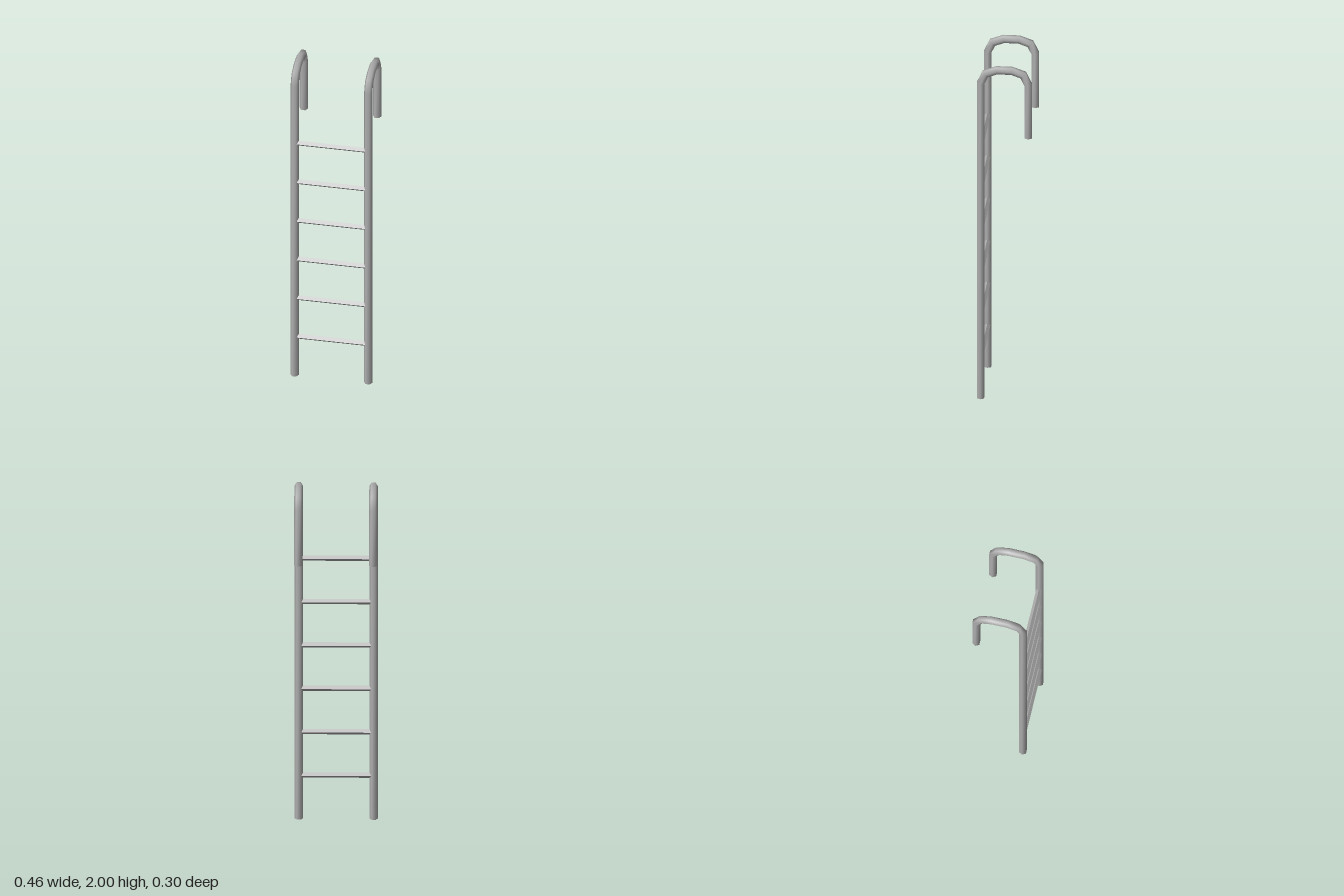
import * as THREE from 'three';

const RAIL_X = 0.205, RAIL_Z = 0.131, RAIL_R = 0.0228, SIDES = 6;

// Hexagonal tube swept with mitred joints along a path in the z-y plane
function sweepRail(path) {
  const pos = [], idx = [];
  const pts = path.map(([z, y]) => new THREE.Vector2(z, y));
  const last = pts.length - 1;
  const rings = pts.map((p, i) => {
    const a = pts[Math.max(i - 1, 0)], b = pts[Math.min(i + 1, last)];
    const dIn = (i > 0 ? p.clone().sub(a) : b.clone().sub(p)).normalize();
    const dOut = (i < last ? b.clone().sub(p) : p.clone().sub(a)).normalize();
    const t = dIn.clone().add(dOut).normalize();
    const stretch = 1 / t.dot(dIn);
    const ring = [];
    for (let k = 0; k < SIDES; k++) {
      const ang = (k / SIDES) * Math.PI * 2;
      const n = Math.sin(ang) * RAIL_R * stretch;
      ring.push([Math.cos(ang) * RAIL_R, p.y - t.x * n, p.x + t.y * n]);
    }
    return ring;
  });
  rings.forEach((ring) => ring.forEach((v) => pos.push(...v)));
  for (let i = 0; i < last; i++) {
    for (let k = 0; k < SIDES; k++) {
      const a = i * SIDES + k, b = i * SIDES + (k + 1) % SIDES;
      idx.push(a, a + SIDES, b, b, a + SIDES, b + SIDES);
    }
  }
  // End caps with their own vertices so the edges stay sharp
  [rings[0], rings[last]].forEach((ring, end) => {
    const s = pos.length / 3;
    ring.forEach((v) => pos.push(...v));
    for (let k = 1; k < SIDES - 1; k++) {
      if (end) idx.push(s, s + k + 1, s + k);
      else idx.push(s, s + k, s + k + 1);
    }
  });
  const geo = new THREE.BufferGeometry();
  geo.setAttribute('position', new THREE.Float32BufferAttribute(pos, 3));
  geo.setIndex(idx);
  geo.computeVertexNormals();
  return geo;
}

export function createModel() {
  const group = new THREE.Group();
  group.name = 'ladder';
  const metal = new THREE.MeshStandardMaterial({ color: 0xb0b0b0, side: THREE.DoubleSide });
  metal.name = 'grey metal';

  // Side rails: straight up, over the hook, and down behind
  const railGeo = sweepRail([
    [RAIL_Z, 0], [RAIL_Z, 1.9], [0.104, 1.957], [0.042, 1.98],
    [-0.042, 1.98], [-0.104, 1.957], [-RAIL_Z, 1.9], [-RAIL_Z, 1.58],
  ]);
  for (const side of [1, -1]) {
    const rail = new THREE.Mesh(railGeo, metal);
    rail.name = side > 0 ? 'leftRail' : 'rightRail';
    rail.position.x = side * RAIL_X;
    group.add(rail);
  }

  // Diamond-section rungs with sharp edges
  const side = 0.0155 * Math.SQRT2;
  const rungGeo = new THREE.BoxGeometry(0.4, side, side);
  rungGeo.rotateX(Math.PI / 4);
  for (let i = 1; i <= 6; i++) {
    const rung = new THREE.Mesh(rungGeo, metal);
    rung.name = 'rung' + i;
    rung.position.set(0, i * 0.254, RAIL_Z);
    group.add(rung);
  }
  return group;
}
